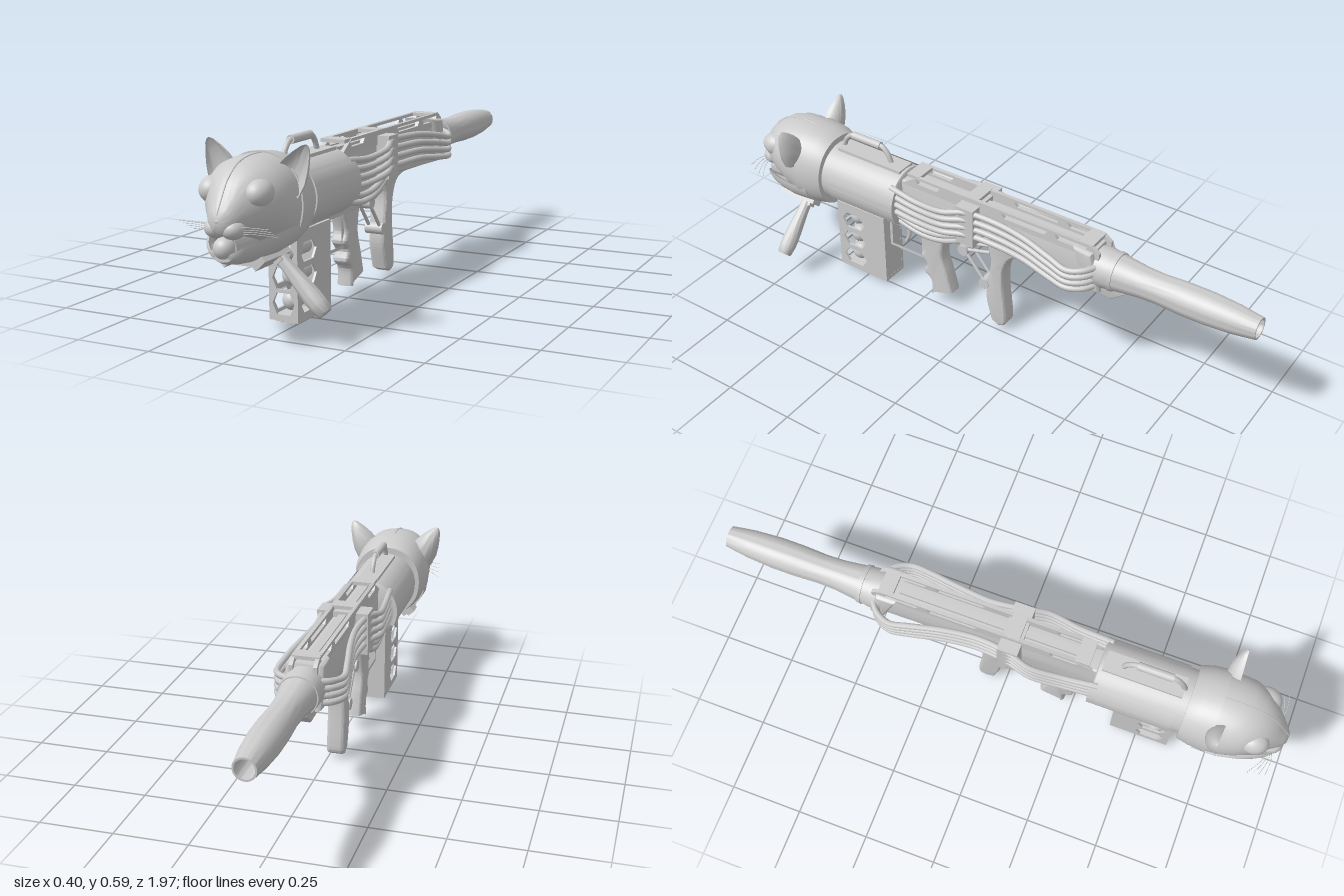
import * as THREE from 'three';
import { toCreasedNormals } from 'three/addons/utils/BufferGeometryUtils.js';

const V = (x, y, z) => new THREE.Vector3(x, y, z);
const mat = new THREE.MeshStandardMaterial({ color: 0xcccccc });
const matDouble = new THREE.MeshStandardMaterial({ color: 0xcccccc, side: THREE.DoubleSide });
const SIDES = [-1, 1];

export function createModel() {
  const model = new THREE.Group();
  model.name = 'catHeadBlaster';
  model.position.x = -0.03;

  const add = (name, geo, x = 0, y = 0, z = 0, material = mat) => {
    const m = new THREE.Mesh(geo, material);
    m.name = name;
    m.position.set(x, y, z);
    model.add(m);
    return m;
  };
  const box = (name, w, h, d, x, y, z) => add(name, new THREE.BoxGeometry(w, h, d), x, y, z);
  const ball = (name, r, x, y, z) => add(name, new THREE.SphereGeometry(r, 28, 18), x, y, z);
  const tube = (name, pts, r, n = 40) =>
    add(name, new THREE.TubeGeometry(new THREE.CatmullRomCurve3(pts.map(p => V(...p))), n, r, 8));
  const rod = (name, a, b, r) => {
    const p = V(...a), q = V(...b), d = q.clone().sub(p);
    const m = add(name, new THREE.CylinderGeometry(r, r, d.length(), 20));
    m.position.copy(p).add(q).multiplyScalar(0.5);
    m.quaternion.setFromUnitVectors(V(0, 1, 0), d.normalize());
    return m;
  };
  // Lathe around the z axis, profile given as [radius, z]
  const latheZ = (name, profile, y) => add(name, toCreasedNormals(
    new THREE.LatheGeometry(profile.map(p => new THREE.Vector2(...p)), 40).rotateX(Math.PI / 2), 0.6), 0, y, 0, matDouble);
  const outline = (pts) => new THREE.Shape(pts.map(p => new THREE.Vector2(...p)));
  const hole = (pts) => new THREE.Path(pts.map(p => new THREE.Vector2(...p)));
  // Side profile given as [z, y], extruded across x
  const sidePlate = (name, pts, width, x = 0, holes = [], bevel = 0) => {
    const shape = pts instanceof THREE.Shape ? pts : outline(pts);
    shape.holes = holes.map(hole);
    const depth = width - 2 * bevel;
    const geo = new THREE.ExtrudeGeometry(shape, { depth, curveSegments: 24, bevelEnabled: bevel > 0,
      bevelSize: bevel * 0.7, bevelOffset: -bevel * 0.7, bevelThickness: bevel, bevelSegments: 4 });
    geo.translate(0, 0, -depth / 2).rotateY(-Math.PI / 2);
    return add(name, toCreasedNormals(geo, 0.7), x);
  };
  // Skin over closed rings that run counter-clockwise and advance along +z
  const loft = (rings, crease = 0.8) => {
    const n = rings[0].length, pos = [], idx = [];
    rings.forEach(r => r.forEach(p => pos.push(p.x, p.y, p.z)));
    const centre = (r) => r.reduce((s, p) => s.add(p), V(0, 0, 0)).divideScalar(n);
    [rings[0], rings[rings.length - 1]].forEach(r => pos.push(...centre(r).toArray()));
    const first = rings.length * n, last = (rings.length - 1) * n;
    for (let j = 0; j < n; j++) {
      const k = (j + 1) % n;
      for (let i = 0; i < rings.length - 1; i++) {
        const a = i * n + j, b = i * n + k;
        idx.push(a, b, a + n, b, b + n, a + n);
      }
      idx.push(first, k, j, first + 1, last + j, last + k);
    }
    const g = new THREE.BufferGeometry();
    g.setAttribute('position', new THREE.Float32BufferAttribute(pos, 3));
    g.setIndex(idx);
    return toCreasedNormals(g, crease);
  };
  const ring = (n, f) => Array.from({ length: n }, (_, i) => f(i / n * Math.PI * 2));
  // Head section: [z, top, bottom, halfWidth]; grow thickens it
  const section = ([z, top, bot, hw], grow = 0) => ring(48, t => V(
    (hw + grow) * Math.sign(Math.cos(t)) * Math.abs(Math.cos(t)) ** 0.9,
    (top + bot) / 2 + ((top - bot) / 2 + grow) * Math.sign(Math.sin(t)) * Math.abs(Math.sin(t)) ** 0.95, z));

  // Head: skull, rear band, crest seam
  const skull = [[0.63, 0.525, 0.275, 0.118], [0.67, 0.543, 0.266, 0.128], [0.73, 0.55, 0.264, 0.134],
    [0.78, 0.551, 0.285, 0.133], [0.82, 0.547, 0.31, 0.126], [0.86, 0.535, 0.325, 0.108], [0.89, 0.515, 0.335, 0.088],
    [0.915, 0.492, 0.34, 0.068], [0.935, 0.462, 0.345, 0.052], [0.955, 0.43, 0.35, 0.036], [0.968, 0.41, 0.365, 0.018]];
  add('skull', loft(skull.map(s => section(s)), 1));
  add('headBand', loft(skull.slice(0, 3).map(s => section(s, 0.005))));
  tube('crestSeam', skull.slice(2).map(s => [0, s[1], s[0]]), 0.0025);

  // Lower jaw, a shallow cup open at the top
  const jaw = [[0.69, 0.36, 0.26, 0.13], [0.77, 0.35, 0.252, 0.126], [0.84, 0.34, 0.25, 0.108],
    [0.89, 0.33, 0.255, 0.086], [0.925, 0.32, 0.262, 0.064], [0.945, 0.305, 0.272, 0.042]];
  add('lowerJaw', loft(jaw.map(([z, rim, bot, hw]) => ring(48, t => {
    const s = Math.sin(t);
    return V(hw * Math.cos(t) * (s > 0 ? 0.88 : 1), rim - (rim - bot) * Math.abs(s) * (s > 0 ? 0.8 : 1), z);
  })), 1));
  latheZ('mouthBore', [[0.036, 0.78], [0.036, 0.93], [0.042, 0.935], [0.042, 0.78]], 0.312);
  ball('mouthBall', 0.033, 0, 0.31, 0.93);
  ball('nose', 0.016, 0, 0.392, 0.955).scale.set(1.1, 0.75, 0.9);

  // Eyes, cheeks, ears and whiskers
  const earRows = [[0, 0.052, 0.05], [0.045, 0.05, 0.05], [0.08, 0.04, 0.042], [0.11, 0.028, 0.03],
    [0.135, 0.015, 0.016], [0.146, 0.004, 0.005]];
  for (const s of SIDES) {
    ball('eye', 0.042, s * 0.074, 0.46, 0.862).scale.set(1, 0.98, 1.2);
    ball('muzzlePad', 0.036, s * 0.027, 0.366, 0.925).scale.set(1, 0.85, 1.05);
    const ear = loft(earRows.map(([h, w, d]) => ring(40, t => V(w * Math.cos(t),
      Math.abs(Math.sin(t)) * d * (Math.sin(t) > 0 ? 1 : 0.7) + h * 0.08, h))), 0.7);
    add('ear', ear.rotateX(-Math.PI / 2).rotateZ(-s * 0.5), s * 0.095, 0.457, 0.765);
    for (let i = 0; i < 4; i++)
      tube('whisker', [[s * 0.045, 0.372 - i * 0.006, 0.93], [s * 0.09, 0.378 - i * 0.008, 0.94 - i * 0.008],
        [s * 0.145, 0.377 - i * 0.011, 0.935 - i * 0.018]], 0.0009, 8);
  }

  // Body drum with raised side panels and lower tube
  latheZ('bodyDrum', [[0, 0.32], [0.1, 0.32], [0.108, 0.325], [0.108, 0.64], [0, 0.64]], 0.4);
  for (const s of SIDES)
    latheZ('sidePanel', [[0.1, 0.315], [0.113, 0.315], [0.113, 0.6], [0.1, 0.6]], 0.4).geometry =
      toCreasedNormals(new THREE.LatheGeometry([[0.1, 0.315], [0.113, 0.315], [0.113, 0.6], [0.1, 0.6]]
        .map(p => new THREE.Vector2(...p)), 20, s > 0 ? Math.PI / 2 - 0.5 : -Math.PI / 2 - 0.8, 1.3).rotateX(Math.PI / 2), 0.6);
  latheZ('lowerTube', [[0, 0.35], [0.044, 0.35], [0.05, 0.36], [0.05, 0.6], [0, 0.62]], 0.325);
  box('topPlate', 0.07, 0.012, 0.27, 0, 0.507, 0.47);

  // Carry handle
  tube('carryHandle', [[0, 0.505, 0.605], [0, 0.54, 0.59], [0, 0.562, 0.565], [0, 0.564, 0.5],
    [0, 0.562, 0.435], [0, 0.54, 0.41], [0, 0.505, 0.395]], 0.009);
  rod('carryGrip', [0, 0.563, 0.56], [0, 0.563, 0.44], 0.014);

  // Magazine: windowed side and front plates around three balls
  const rows = [0.068, 0.147, 0.226];
  const hex = (cx, cy, rx, ry) => [[-1, 0], [-0.6, -1], [0.6, -1], [1, 0], [0.6, 1], [-0.6, 1]]
    .map(([a, b]) => [cx + a * rx, cy + b * ry]);
  for (const s of SIDES)
    sidePlate('magazineSide', [[0.405, 0.015], [0.615, 0.015], [0.615, 0.295], [0.405, 0.295]], 0.008, s * 0.046,
      rows.map(y => hex(0.545, y, 0.05, 0.03)));
  const front = outline([[-0.05, 0.015], [0.05, 0.015], [0.05, 0.295], [-0.05, 0.295]]);
  front.holes = rows.map(y => hole(hex(0, y, 0.038, 0.034)));
  add('magazineFront', new THREE.ExtrudeGeometry(front, { depth: 0.008, bevelEnabled: false }), 0, 0, 0.607);
  box('magazineBack', 0.084, 0.28, 0.075, 0, 0.155, 0.443);
  box('magazineFloor', 0.1, 0.012, 0.21, 0, 0.021, 0.51);
  box('magazineFoot', 0.08, 0.01, 0.17, 0, 0.011, 0.51);
  for (const s of SIDES) rod('magazineStud', [s * 0.022, 0.005, 0.59], [s * 0.022, 0.005, 0.45], 0.005);
  for (const y of rows) {
    ball('magazineBall', 0.033, 0, y, 0.556);
    rod('ballCup', [0, y, 0.47], [0, y, 0.54], 0.026);
  }

  // Side foregrip and its clamp under the jaw
  for (const s of SIDES) {
    box('foregripClamp', 0.045, 0.03, 0.15, s * 0.058, 0.258, 0.78).rotation.z = s * 0.75;
    box('clampBolt', 0.03, 0.045, 0.05, s * 0.062, 0.256, 0.745).rotation.z = s * 0.75;
  }
  box('clampStrap', 0.1, 0.014, 0.12, 0, 0.246, 0.78);
  const grip = [[0, 0], [0.019, 0], [0.02, 0.04], [0.024, 0.09], [0.029, 0.15], [0.029, 0.18], [0.025, 0.212], [0.022, 0.216], [0, 0.216]];
  add('foregrip', toCreasedNormals(new THREE.LatheGeometry(grip.map(p => new THREE.Vector2(...p)), 32), 0.7),
    0.065, 0.255, 0.745).quaternion.setFromUnitVectors(V(0, 1, 0), V(0.148, -0.151, 0).normalize());

  // Receiver and slotted top rail
  sidePlate('receiver', [[0.33, 0.49], [-0.44, 0.49], [-0.53, 0.475], [-0.56, 0.385], [-0.51, 0.345], [-0.32, 0.352],
    [-0.17, 0.355], [0, 0.37], [0.08, 0.335], [0.17, 0.29], [0.4, 0.285], [0.4, 0.4], [0.33, 0.42]], 0.084, 0, [], 0.008);
  const slot = (a, b) => [[a, 0.5], [b, 0.5], [b + 0.012, 0.517], [a - 0.012, 0.517]];
  for (const s of SIDES)
    sidePlate('railSide', [[0.32, 0.48], [0.25, 0.527], [-0.43, 0.527], [-0.46, 0.505], [-0.46, 0.48]], 0.013, s * 0.039,
      [slot(0.17, 0.25), slot(-0.255, -0.1), slot(-0.405, -0.305)]);
  box('railCore', 0.026, 0.012, 0.72, 0, 0.496, -0.07);
  for (const z of [0.27, 0.03, -0.41]) box('railBridge', 0.086, 0.012, 0.05, 0, 0.522, z);

  // Hoses, mid clamp and rear collar
  for (const s of SIDES) {
    for (let i = 0; i < 4; i++)
      tube('hose', [[0.08, 0.472, 0.34, 0.03], [0.09, 0.462, 0.22, 0.027], [0.1, 0.475, 0.11, 0.027], [0.08, 0.492, 0.03, 0.03],
        [0.068, 0.488, -0.08, 0.03], [0.08, 0.482, -0.2, 0.028], [0.1, 0.465, -0.31, 0.026], [0.108, 0.45, -0.38, 0.023],
        [0.085, 0.455, -0.43, 0.024], [0.045, 0.46, -0.46, 0.024]].map(([x, y, z, step]) => [s * x, y - i * step, z]), 0.0105, 64);
    for (let i = 0; i < 2; i++)
      tube('lowerHose', [[0.06, 0.335, 0.34], [0.068, 0.318, 0.22], [0.07, 0.33, 0.13], [0.062, 0.37, 0.03], [0.04, 0.395, -0.05]]
        .map(([x, y, z]) => [s * (x + 0.004 * i), y + 0.024 * i, z]), 0.0105);
  }
  box('hoseClamp', 0.176, 0.145, 0.07, 0, 0.438, 0.03);
  sidePlate('rearCollar', [[-0.37, 0.51], [-0.44, 0.505], [-0.475, 0.365], [-0.42, 0.36]], 0.125, 0, [], 0.015);

  // Rear cone and hollow tail barrel
  latheZ('tailBarrel', [[0, -0.43], [0.07, -0.43], [0.068, -0.47], [0.06, -0.53], [0.052, -0.6], [0.05, -0.66], [0.054, -0.75],
    [0.054, -0.83], [0.048, -0.92], [0.037, -1], [0.031, -1], [0.031, -0.88], [0, -0.88]].reverse(), 0.43);
  latheZ('coneBand', [[0.06, -0.5], [0.068, -0.5], [0.066, -0.515], [0.055, -0.515]], 0.43);

  // Shoulder stock
  const stock = new THREE.Shape().moveTo(-0.01, 0.375);
  stock.splineThru([[-0.035, 0.29], [-0.022, 0.19], [-0.018, 0.12], [-0.04, 0.03]].map(p => new THREE.Vector2(...p)));
  stock.lineTo(-0.07, 0.016);
  stock.splineThru([[-0.095, 0.03], [-0.098, 0.07], [-0.085, 0.2], [-0.092, 0.28], [-0.13, 0.335], [-0.22, 0.352]]
    .map(p => new THREE.Vector2(...p)));
  stock.lineTo(-0.22, 0.375);
  sidePlate('shoulderStock', stock, 0.06, 0, [], 0.012);

  // Folding linkage between receiver and stock
  const pivots = [[0.078, 0.284], [-0.01, 0.178], [-0.03, 0.315], [0.1, 0.32]];
  for (const s of SIDES)
    for (const k of [1, 2, 3])
      rod('linkageRod', [s * 0.02, pivots[0][1], pivots[0][0]], [s * 0.02, pivots[k][1], pivots[k][0]], 0.006);
  for (const [z, y] of pivots.slice(0, 2)) rod('linkagePivot', [-0.032, y, z], [0.032, y, z], 0.02);

  // Pistol grip with finger grooves, trigger and guard
  const pistol = new THREE.Shape().moveTo(0.275, 0.3);
  pistol.splineThru([[0.25, 0.225], [0.262, 0.185], [0.24, 0.155], [0.252, 0.12], [0.222, 0.09], [0.222, 0.03]]
    .map(p => new THREE.Vector2(...p)));
  pistol.lineTo(0.13, 0.065);
  pistol.splineThru([[0.15, 0.14], [0.17, 0.215], [0.155, 0.3]].map(p => new THREE.Vector2(...p)));
  sidePlate('pistolGrip', pistol, 0.058, 0, [], 0.016);
  sidePlate('triggerGuard', [[0.41, 0.295], [0.41, 0.165], [0.25, 0.165], [0.25, 0.295]], 0.03, 0,
    [[[0.395, 0.28], [0.395, 0.176], [0.265, 0.176], [0.265, 0.28]]]);
  tube('trigger', [[0, 0.285, 0.335], [0, 0.23, 0.33], [0, 0.195, 0.345]], 0.007, 12);

  return model;
}
